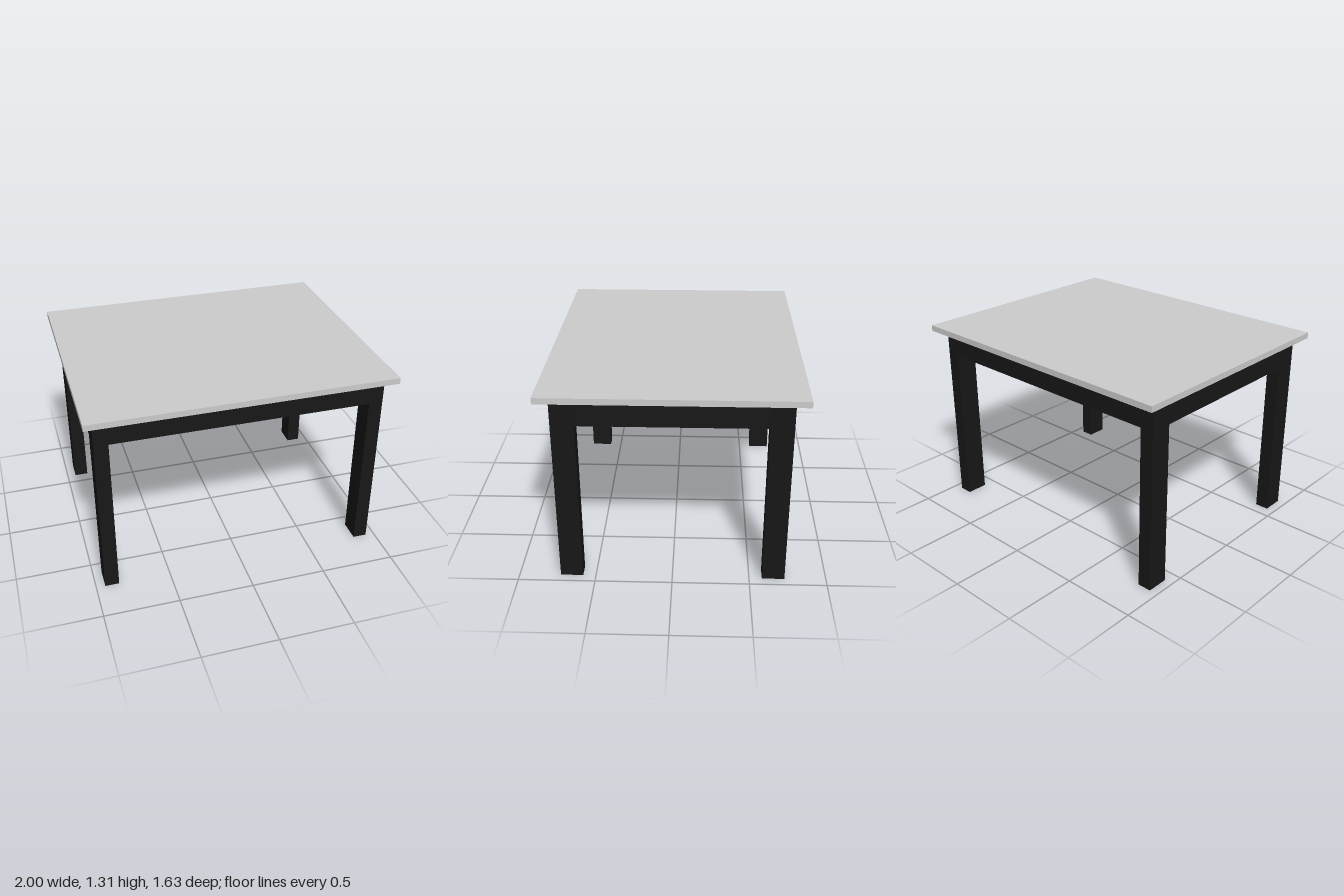
import * as THREE from 'three';

export function createModel() {
  const model = new THREE.Group();
  model.name = 'table';

  const topMaterial = new THREE.MeshStandardMaterial({ color: 0xcccccc });
  const frameMaterial = new THREE.MeshStandardMaterial({ color: 0x171717 });

  // Frame extents: outer faces, leg section and heights
  const outerX = 0.94, outerZ = 0.73;
  const legX = 0.093, legZ = 0.146;
  const frameTop = 1.27, apronHeight = 0.17, topThickness = 0.04;

  const addBox = (name, size, position, material) => {
    const mesh = new THREE.Mesh(new THREE.BoxGeometry(...size), material);
    mesh.name = name;
    mesh.position.set(...position);
    model.add(mesh);
  };

  // Table top
  addBox('tableTop', [2, topThickness, 1.63], [0, frameTop + topThickness / 2, 0], topMaterial);

  const legCentreX = outerX - legX / 2;
  const legCentreZ = outerZ - legZ / 2;
  const apronY = frameTop - apronHeight / 2;

  for (const s of [-1, 1]) {
    // Legs at the four corners
    for (const t of [-1, 1]) {
      const name = (t > 0 ? 'front' : 'back') + (s > 0 ? 'Left' : 'Right') + 'Leg';
      addBox(name, [legX, frameTop, legZ], [s * legCentreX, frameTop / 2, t * legCentreZ], frameMaterial);
    }

    // Aprons between the legs, flush with their faces
    addBox(s > 0 ? 'frontApron' : 'backApron',
      [2 * (outerX - legX), apronHeight, legZ], [0, apronY, s * legCentreZ], frameMaterial);
    addBox(s > 0 ? 'leftApron' : 'rightApron',
      [legX, apronHeight, 2 * (outerZ - legZ)], [s * legCentreX, apronY, 0], frameMaterial);
  }

  return model;
}
